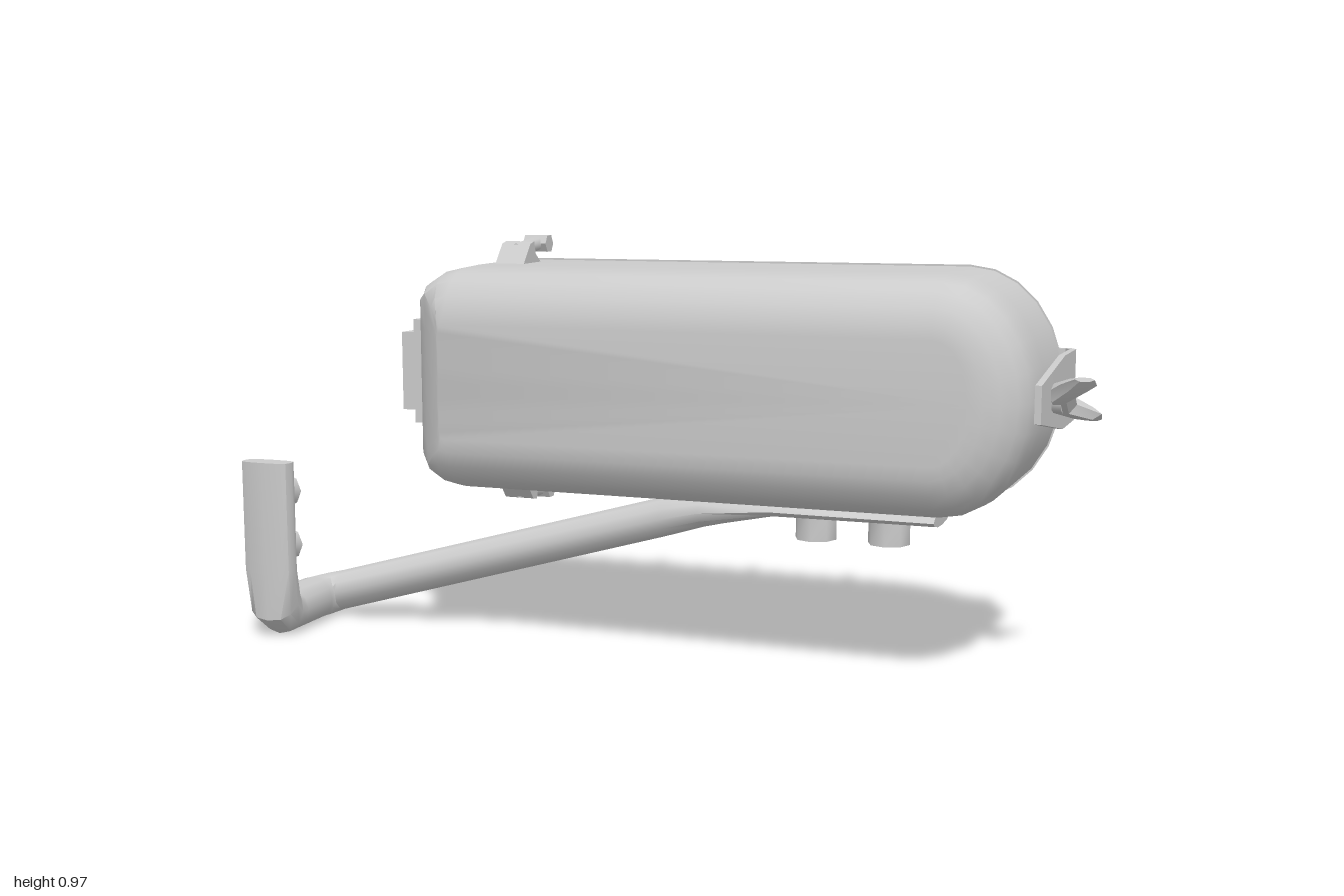
import * as THREE from 'three';
import { toCreasedNormals } from 'three/addons/utils/BufferGeometryUtils.js';

const V = (x, y, z) => new THREE.Vector3(x, y, z);
const MID = 0.642; // height of the housing's centre line

// Closed skin through equal-length rings, each counter-clockwise about the travel direction
function loft(rings, crease = 0.6) {
  const n = rings[0].length, pos = [], idx = [];
  rings.forEach(r => r.forEach(p => pos.push(p.x, p.y, p.z)));
  for (let i = 0; i < rings.length - 1; i++) {
    for (let j = 0; j < n; j++) {
      const a = i * n + j, b = i * n + (j + 1) % n;
      idx.push(a, b, b + n, a, b + n, a + n);
    }
  }
  const end = (rings.length - 1) * n;
  for (let j = 1; j < n - 1; j++) idx.push(0, j + 1, j, end, end + j, end + j + 1);
  const g = new THREE.BufferGeometry();
  g.setAttribute('position', new THREE.Float32BufferAttribute(pos, 3));
  g.setIndex(idx);
  return toCreasedNormals(g, crease);
}

// Oval ring about centre c with half axes a along u and b along v; power < 1 makes it boxier
function oval(c, u, a, v, b, sides, power = 1) {
  const f = t => Math.sign(t) * Math.abs(t) ** power;
  return Array.from({ length: sides }, (_, i) => {
    const t = i / sides * Math.PI * 2;
    return c.clone().addScaledVector(u, a * f(Math.cos(t))).addScaledVector(v, b * f(Math.sin(t)));
  });
}

// Flat polygon given as [z, y] pairs, extruded along x about x0
function sideProfile(pts, x0, width) {
  const s = new THREE.Shape(pts.map(p => new THREE.Vector2(...p)));
  const g = new THREE.ExtrudeGeometry(s, { depth: width, bevelEnabled: false });
  return g.rotateY(-Math.PI / 2).translate(x0 + width / 2, 0, 0);
}

// Rounded rectangle plate on the back face
function plate(x0, x1, y0, y1, z, depth, r) {
  const s = new THREE.Shape();
  s.moveTo(x0 + r, y0);
  s.lineTo(x1 - r, y0); s.quadraticCurveTo(x1, y0, x1, y0 + r);
  s.lineTo(x1, y1 - r); s.quadraticCurveTo(x1, y1, x1 - r, y1);
  s.lineTo(x0 + r, y1); s.quadraticCurveTo(x0, y1, x0, y1 - r);
  s.lineTo(x0, y0 + r); s.quadraticCurveTo(x0, y0, x0 + r, y0);
  return new THREE.ExtrudeGeometry(s, { depth, bevelEnabled: false, curveSegments: 3 }).translate(0, 0, z);
}

// Rod between two points
function rod(a, b, r, sides = 8) {
  const d = b.clone().sub(a);
  const g = new THREE.CylinderGeometry(r, r, d.length(), sides);
  g.applyQuaternion(new THREE.Quaternion().setFromUnitVectors(V(0, 1, 0), d.normalize()));
  const m = a.clone().add(b).multiplyScalar(0.5);
  return toCreasedNormals(g.translate(m.x, m.y, m.z), 0.9);
}

// V-shaped, tapering wings of a wing nut, rising along +y
function wings(roll) {
  const half = [[0.05, 0.046, 0.011, 0.003], [0.036, 0.038, 0.02, 0.009], [0.014, 0.016, 0.016, 0.014]];
  const rings = [...half.map(([x, ...r]) => [-x, ...r]), ...half.slice().reverse()];
  return loft(rings.map(([x, y, h, t]) => oval(V(x, y, 0), V(0, 1, 0), h, V(0, 0, 1), t, 6)), 0.4).rotateY(roll);
}

// Housing outline at depth z, shrunk by an inset; the front left end is cut off diagonally
function outline(z, inset) {
  const pts = [], n = 6, f = Math.max(0, z - 0.05) / 0.188;
  const limit = z > 0.04 ? -0.595 + 0.09 * f + 0.05 * f ** 4 : -1;
  for (let q = 0; q < 4; q++) {
    const right = q === 0 || q === 3;
    for (let i = 0; i <= n; i++) {
      if ((q === 2 && i === 0) || (q === 3 && i === n)) continue;
      const a = (q + i / n) * Math.PI / 2;
      const x = (right ? 0.68 : -0.44) + Math.cos(a) * ((right ? 0.213 : 0.18) - inset);
      pts.push(V(Math.max(x, limit), MID + Math.sin(a) * (0.267 - inset), z));
    }
  }
  return pts;
}

export function createModel() {
  const model = new THREE.Group();
  const mat = new THREE.MeshStandardMaterial({ color: 0xcccccc });
  const add = (name, geo) => {
    const m = new THREE.Mesh(geo, mat);
    m.name = name;
    model.add(m);
  };
  const box = (name, x0, x1, y0, y1, z0, z1) => add(name,
    new THREE.BoxGeometry(x1 - x0, y1 - y0, z1 - z0).translate((x0 + x1) / 2, (y0 + y1) / 2, (z0 + z1) / 2));

  // Rounded housing and its rear rim
  const depths = [[-0.178, 0.002], [0.05, 0.006], [0.13, 0.011], [0.165, 0.02], [0.195, 0.038], [0.22, 0.07], [0.235, 0.105], [0.238, 0.135]];
  add('housing', loft(depths.map(d => outline(...d))));
  add('rearRim', loft([outline(-0.19, 0.002), outline(-0.174, -0.002)]));

  // Rear cover panels, each with a wing nut
  [[0.48, -0.7], [0.215, -0.7], [-0.065, -0.7], [-0.345, 0.7]].forEach(([x, roll], i) => {
    const nx = 0.52 - i * 0.28;
    add('rearPanel', plate(x - 0.122, x + 0.122, 0.435, 0.885, -0.196, 0.008, 0.03));
    add('rearWingNut', wings(roll).scale(1.2, 1, 1.2).rotateX(-Math.PI / 2).translate(nx, 0.85, -0.193));
    add('rearStud', rod(V(nx, 0.85, -0.185), V(nx, 0.85, -0.215), 0.017));
  });

  // Rail along the lower rear edge
  box('lowerRail', -0.52, 0.74, 0.373, 0.425, -0.188, -0.17);
  box('lowerRailLip', -0.52, 0.74, 0.395, 0.428, -0.198, -0.18);

  // Stepped pads and the strap hooked over the right-hand edge
  add('strapBasePad', plate(0.685, 0.84, 0.5, 0.785, -0.209, 0.022, 0.02));
  add('strapUpperPad', plate(0.715, 0.825, 0.53, 0.752, -0.222, 0.02, 0.012));
  const strap = [[0.73, -0.216, 0.08, 0, 1], [0.82, -0.218, 0.08, 0, 1], [0.895, -0.225, 0.08, 0.7, 1],
    [0.908, -0.205, 0.08, 1, 0.5], [0.905, -0.05, 0.08, 1, 0], [0.893, 0.195, 0.04, 1, 0]];
  add('clampStrap', loft(strap.map(([x, z, h, nx, nz]) => [[1, 1], [-1, 1], [-1, -1], [1, -1]].map(
    ([o, s]) => V(x + o * nx * 0.007, MID + 0.003 + s * h, z - o * nz * 0.007))), 0.4));
  add('clampWingNut', wings(1.0).scale(1.85, 1.85, 1.85).rotateZ(-Math.PI / 2).translate(0.893, MID + 0.003, 0.065));
  add('clampStud', rod(V(0.85, MID, 0.065), V(0.925, MID, 0.065), 0.028));

  // Catch wrapped around the other end
  box('catchPlate', -0.65, -0.58, 0.55, 0.738, -0.1, 0.05);
  box('catchBase', -0.615, -0.57, 0.52, 0.77, -0.08, 0.055);
  box('catchStrip', -0.626, -0.59, 0.55, 0.738, -0.196, -0.095);
  add('catchRearPlate', plate(-0.626, -0.52, 0.55, 0.738, -0.198, 0.014, 0.004));

  // Hinge lugs with pins, above and below
  for (const s of [1, -1]) {
    const y = v => MID + s * (v - MID);
    const tab = [[0.005, 0.895], [-0.04, 0.95], [-0.062, 0.955], [-0.07, 0.925], [-0.105, 0.9]].map(([z, v]) => [z, y(v)]);
    add('hingeLug', sideProfile(tab, -0.385, 0.074));
    add('hingePin', rod(V(-0.385, y(0.933), -0.04), V(-0.385, y(0.948), -0.165), 0.018));
    add('hingePinHead', rod(V(-0.415, y(0.947), -0.165), V(-0.355, y(0.947), -0.165), 0.023, 6));
  }

  // Support arm: flattened pad, round tube, two bends and a flattened upright
  const k = Math.SQRT1_2, X = V(1, 0, 0), Y = V(0, 1, 0), Z = V(0, 0, 1), B = V(0, 0, -1);
  const arm = [
    [V(0.66, 0.36, -0.022), Z, 0.095, Y, 0.018],
    [V(0.28, 0.36, -0.022), Z, 0.09, Y, 0.02],
    [V(0.1, 0.338, -0.024), Z, 0.056, Y, 0.04],
    [V(0, 0.315, -0.025), Z, 0.048, Y, 0.048],
    [V(-0.875, 0.066, -0.025), Z, 0.048, Y, 0.051],
    [V(-0.912, 0.056, -0.008), V(k, 0, k), 0.053, Y, 0.054],
    [V(-0.924, 0.056, 0.04), X, 0.052, Y, 0.054],
    [V(-0.924, 0.056, 0.155), X, 0.056, Y, 0.054],
    [V(-0.924, 0.056, 0.183), X, 0.058, V(0, 0.951, -0.308), 0.057],
    [V(-0.925, 0.08, 0.21), X, 0.062, V(0, 0.66, -0.75), 0.053, 0.85],
    [V(-0.925, 0.168, 0.226), X, 0.066, B, 0.027, 0.6],
    [V(-0.925, 0.432, 0.226), X, 0.066, B, 0.027, 0.6],
  ];
  add('supportArm', loft(arm.map(([c, u, a, v, b, power]) => oval(c, u, a, v, b, 12, power)), 0.75));

  // Bolts on the pad and on the upright
  for (const x of [0.37, 0.54]) add('padBolt', rod(V(x, 0.29, -0.022), V(x, 0.36, -0.022), 0.048));
  for (const y of [0.35, 0.217]) add('uprightBolt', rod(V(-0.925, y, 0.15), V(-0.925, y, 0.22), 0.042));

  return model;
}
